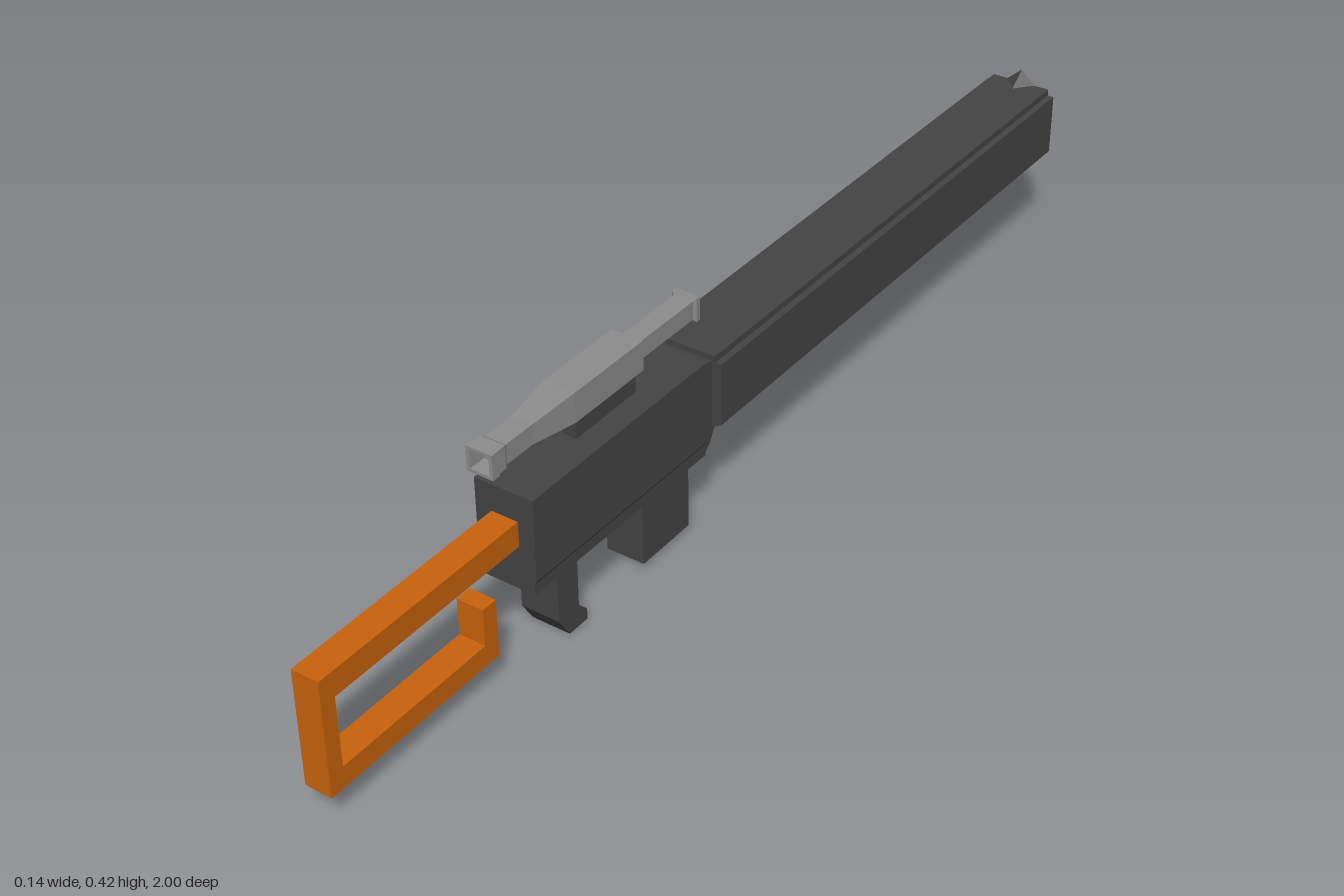
import * as THREE from 'three';
import { ConvexGeometry } from 'three/addons/geometries/ConvexGeometry.js';

const material = (color) => new THREE.MeshStandardMaterial({ color, flatShading: true });

const toShape = (points) => new THREE.Shape(points.map(([x, y]) => new THREE.Vector2(x, y)));

// Right half of a symmetric section -> full outline
const mirrored = (half) => toShape([...half, ...half.map(([x, y]) => [-x, y]).reverse()]);

// Section in x/y, swept from z0 to z1
function sweepZ(shape, z0, z1) {
  return new THREE.ExtrudeGeometry(shape, { depth: z1 - z0, bevelEnabled: false }).translate(0, 0, z0);
}

// Side profile given as [z, y], centred on x = 0
function sideProfile(points, width) {
  return new THREE.ExtrudeGeometry(toShape(points), { depth: width, bevelEnabled: false })
    .rotateY(-Math.PI / 2).translate(width / 2, 0, 0);
}

export function createModel() {
  const group = new THREE.Group();
  const dark = material(0x444444);
  const grey = material(0x8c8c8c);
  const orange = material(0xc8620c);
  const add = (name, geometry, mat) => {
    const mesh = new THREE.Mesh(geometry, mat);
    mesh.name = name;
    group.add(mesh);
  };

  // Open loop shoulder stock
  add('stock', sideProfile([
    [0.565, 0.27], [0.565, 0.225], [0.972, 0.225], [0.972, 0.098], [0.66, 0.098],
    [0.66, 0.165], [0.63, 0.165], [0.63, 0.06], [1, 0.06], [1, 0.27],
  ], 0.049), orange);

  // Receiver with slightly tapered rear, and its narrower front collar
  const receiver = sweepZ(mirrored([
    [0.053, 0.142], [0.053, 0.163], [0.057, 0.17], [0.057, 0.322],
  ]), 0.13, 0.57);
  const pos = receiver.attributes.position;
  for (let i = 0; i < pos.count; i++) {
    if (pos.getZ(i) > 0.5) {
      pos.setX(i, pos.getX(i) * 0.95);
      pos.setY(i, 0.232 + (pos.getY(i) - 0.232) * 0.97);
    }
  }
  receiver.computeVertexNormals();
  add('receiver', receiver, dark);
  add('receiverCollar', sideProfile([
    [0.13, 0.145], [0.13, 0.315], [0.1, 0.31], [0.1, 0.188], [0.115, 0.16],
  ], 0.104), dark);

  // Barrel with side panels and a square bore at the muzzle
  const section = [
    [0.058, 0.188], [0.07, 0.195], [0.07, 0.31], [0.058, 0.31], [0.058, 0.322],
  ];
  add('barrel', sweepZ(mirrored(section), -0.94, 0.11), dark);
  const muzzle = mirrored(section);
  muzzle.holes.push(mirrored([[0.013, 0.24], [0.013, 0.266]]));
  add('muzzle', sweepZ(muzzle, -1, -0.94), dark);

  // Wedge sight at the muzzle
  add('frontSight', new ConvexGeometry([
    new THREE.Vector3(-0.03, 0.321, -1), new THREE.Vector3(0.03, 0.321, -1),
    new THREE.Vector3(0, 0.348, -1), new THREE.Vector3(0, 0.321, -0.965),
  ]), dark);

  // Magazine and hooked grip
  add('magazine', new THREE.BoxGeometry(0.072, 0.14, 0.125).translate(0, 0.08, 0.2175), dark);
  add('grip', sideProfile([
    [0.5, 0.15], [0.5, 0.04], [0.475, 0], [0.43, 0], [0.43, 0.02], [0.45, 0.036], [0.45, 0.15],
  ], 0.072), dark);

  // Scope mount, flared under the scope
  add('scopeMount', sweepZ(mirrored([
    [0.013, 0.318], [0.013, 0.358], [0.028, 0.368],
  ]), 0.26, 0.41), dark);

  // Square scope, hollow at both ends: [half width, z]
  const scopeProfile = [
    [0, 0.15], [0.013, 0.15], [0.018, 0.1], [0.023, 0.1], [0.023, 0.11], [0.018, 0.112],
    [0.018, 0.26], [0.029, 0.26], [0.029, 0.43], [0.019, 0.52], [0.019, 0.58],
    [0.022, 0.585], [0.022, 0.6], [0.024, 0.602], [0.024, 0.618], [0.018, 0.618],
    [0.015, 0.59], [0, 0.59],
  ].map(([r, z]) => new THREE.Vector2(r * Math.SQRT2, z));
  add('scope', new THREE.LatheGeometry(scopeProfile, 4, Math.PI / 4)
    .rotateX(Math.PI / 2).scale(1, 0.92, 1).translate(0, 0.394, 0), grey);

  return group;
}
